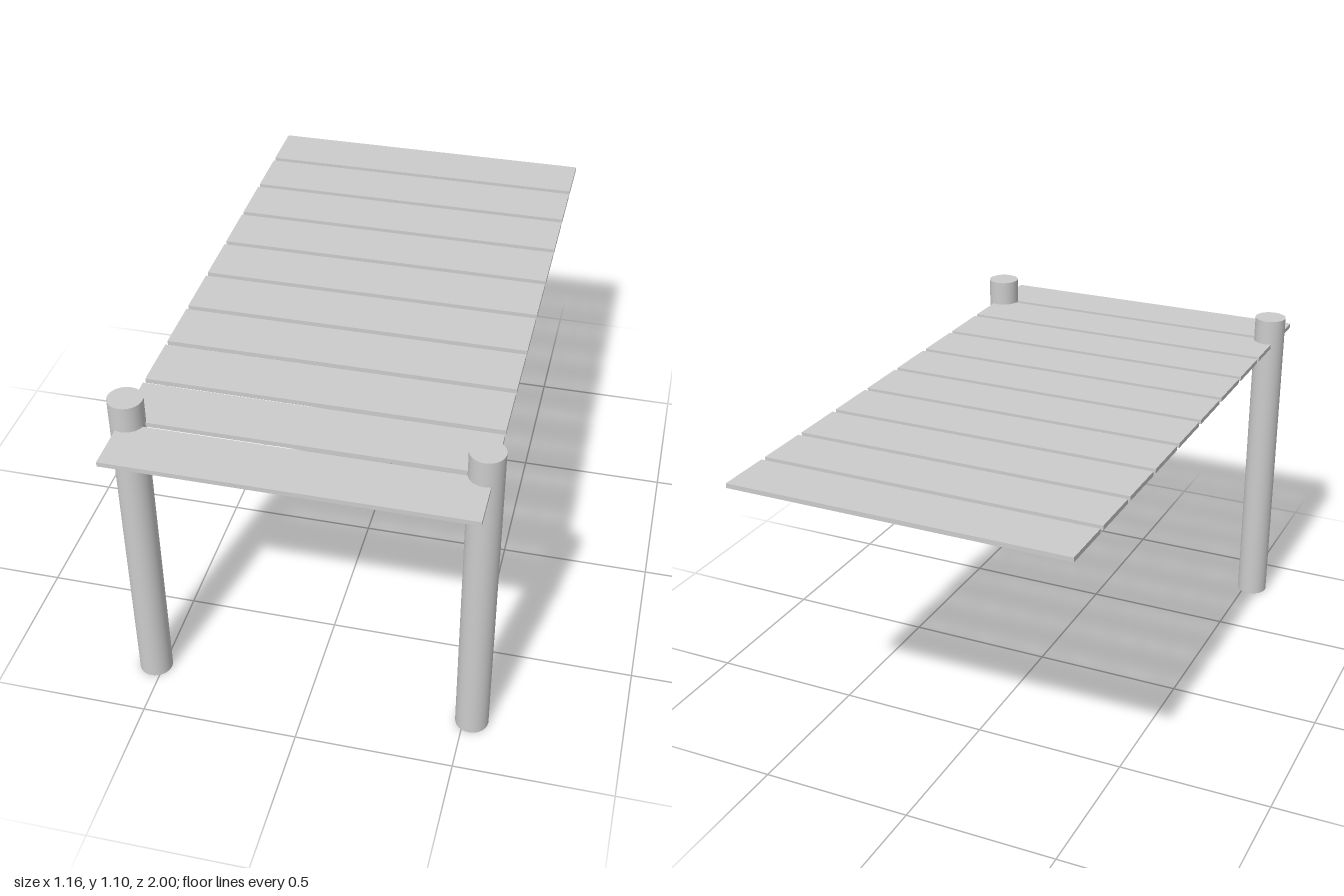
import * as THREE from 'three';

const PLANKS = 10, DEPTH = 0.182, PITCH = 0.202;
const POST_HEIGHT = 1.097, POST_RADIUS = 0.053;

export function createModel() {
  const model = new THREE.Group();
  model.name = 'dock';
  const material = new THREE.MeshStandardMaterial({ color: 0xcccccc });

  // Deck: a row of thin planks with narrow gaps
  const deck = new THREE.Group();
  deck.name = 'deck';
  const plankGeometry = new THREE.BoxGeometry(1.094, 0.015, DEPTH);
  for (let i = 0; i < PLANKS; i++) {
    const plank = new THREE.Mesh(plankGeometry, material);
    plank.name = `plank${i + 1}`;
    plank.position.set(0, 1.005, (i - (PLANKS - 1) / 2) * PITCH);
    deck.add(plank);
  }
  model.add(deck);

  // Round posts at the front end, rising through the deck edges
  const postGeometry = new THREE.CylinderGeometry(POST_RADIUS, POST_RADIUS, POST_HEIGHT, 32);
  for (const side of [-1, 1]) {
    const post = new THREE.Mesh(postGeometry, material);
    post.name = side > 0 ? 'leftPost' : 'rightPost';
    post.position.set(side * 0.526, POST_HEIGHT / 2, 0.804);
    model.add(post);
  }
  return model;
}
